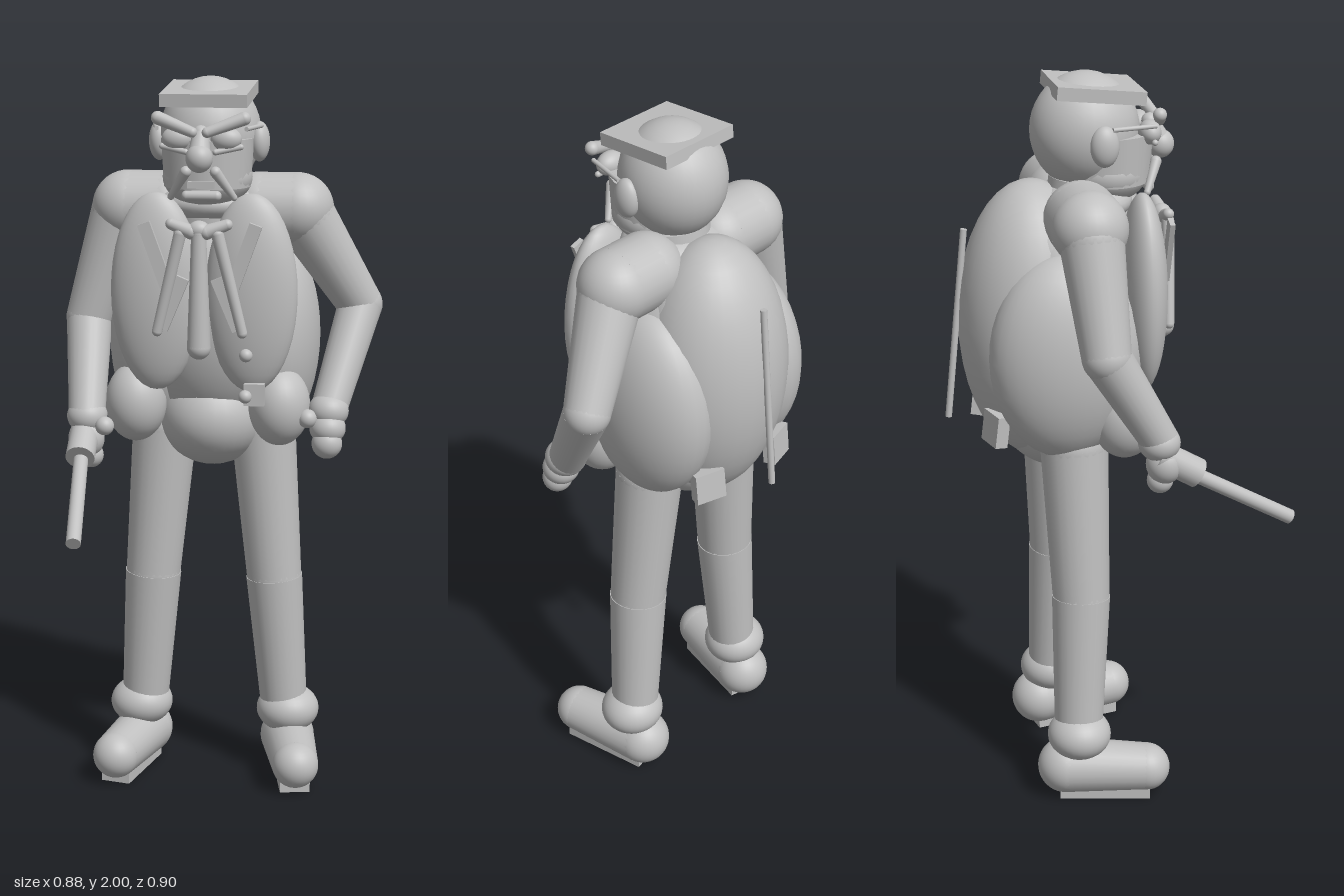
import * as THREE from 'three';

const grey = new THREE.MeshStandardMaterial({ color: 0xc0c0c0 });
grey.name = 'clay grey';
const UP = new THREE.Vector3(0, 1, 0);

export function createModel() {
  const root = new THREE.Group();
  root.name = 'standingMan';
  // the body is symmetric about its own centre line, which sits slightly off the origin
  const body = new THREE.Group();
  body.name = 'body';
  body.position.x = -0.03;
  root.add(body);

  function add(name, geometry, pos, rot = [0, 0, 0]) {
    const m = new THREE.Mesh(geometry, grey);
    m.name = name;
    m.position.set(...pos);
    m.rotation.set(...rot);
    body.add(m);
    return m;
  }
  const ball = (name, pos, r, rot) => {
    const [a, b, c] = Array.isArray(r) ? r : [r, r, r];
    return add(name, new THREE.SphereGeometry(1, 32, 20).scale(a, b, c), pos, rot);
  };
  const box = (name, pos, size, rot) => add(name, new THREE.BoxGeometry(...size), pos, rot);
  // tapered rod between two points
  function rod(name, a, b, ra, rb = ra) {
    const p = new THREE.Vector3(...a), q = new THREE.Vector3(...b);
    const d = q.clone().sub(p);
    const m = add(name, new THREE.CylinderGeometry(rb, ra, d.length(), 24), p.clone().add(q).multiplyScalar(0.5).toArray());
    m.quaternion.setFromUnitVectors(UP, d.normalize());
    return m;
  }
  // rod with rounded ends
  function limb(name, a, b, ra, rb = ra) {
    rod(name, a, b, ra, rb);
    ball(name + 'Start', a, ra);
    ball(name + 'End', b, rb);
  }

  // torso
  ball('chest', [0, 1.36, -0.12], [0.23, 0.34, 0.21]);
  ball('back', [0, 1.34, -0.21], [0.21, 0.38, 0.2]);
  ball('upperBack', [0, 1.5, -0.16], [0.18, 0.2, 0.17]);
  ball('pelvis', [0, 1.06, -0.12], [0.155, 0.145, 0.18]);
  rod('neck', [0, 1.58, -0.07], [0, 1.72, -0.06], 0.11, 0.1);
  ball('collar', [0, 1.66, -0.07], [0.15, 0.06, 0.13]);

  // head
  ball('skull', [0, 1.845, -0.065], [0.138, 0.155, 0.145]);
  ball('jaw', [0, 1.735, -0.01], [0.122, 0.085, 0.115]);
  rod('face', [0, 1.71, -0.01], [0, 1.84, -0.01], 0.118, 0.126);
  box('capBoard', [0, 1.954, -0.042], [0.235, 0.035, 0.235], [0.1, 0, 0]);
  limb('noseBridge', [0, 1.86, 0.11], [0, 1.81, 0.135], 0.022, 0.03);
  ball('noseTip', [0, 1.798, 0.14], [0.036, 0.038, 0.036]);
  box('upperLip', [0, 1.725, 0.11], [0.07, 0.018, 0.02]);
  limb('lowerLip', [-0.04, 1.695, 0.1], [0.04, 1.695, 0.1], 0.014);

  for (const s of [-1, 1]) {
    // face details
    ball('ear', [s * 0.137, 1.828, -0.04], [0.028, 0.054, 0.038]);
    limb('brow', [s * 0.115, 1.9, 0.11], [s * 0.02, 1.865, 0.133], 0.018, 0.014);
    ball('eye', [s * 0.065, 1.845, 0.095], [0.042, 0.032, 0.03]);
    rod('templeArm', [s * 0.12, 1.872, 0.1], [s * 0.145, 1.872, -0.02], 0.006);
    limb('lowerRim', [s * 0.105, 1.825, 0.1], [s * 0.04, 1.812, 0.115], 0.008);
    limb('moustache', [s * 0.04, 1.76, 0.118], [s * 0.085, 1.69, 0.085], 0.015, 0.009);

    // coat
    ball('coatSide', [s * 0.165, 1.28, -0.15], [0.13, 0.28, 0.205]);
    ball('coatFront', [s * 0.13, 1.43, 0.063], [0.125, 0.27, 0.062]);
    ball('coatHem', [s * 0.2, 1.11, 0.0], [0.085, 0.11, 0.09]);
    limb('shoulder', [s * 0.13, 1.64, -0.1], [s * 0.235, 1.64, -0.1], 0.1);
    box('rearPouch', [s * 0.13, 1.08, -0.335], [0.085, 0.085, 0.035], [0.12, -s * 0.3, 0]);

    // lapel ribbons and tie tails
    box('lapelRibbon', [s * 0.12, 1.54, 0.135], [0.035, 0.18, 0.014], [0, 0, -s * 0.35]);
    box('lapelFold', [s * 0.075, 1.41, 0.13], [0.035, 0.15, 0.014], [0, 0, s * 0.4]);
    limb('tieTail', [s * 0.05, 1.6, 0.15], [s * 0.115, 1.335, 0.14], 0.017, 0.014);
    limb('tieLoop', [s * 0.02, 1.605, 0.15], [s * 0.075, 1.625, 0.145], 0.02, 0.015);

    // legs
    limb('thigh', [s * 0.14, 1.02, -0.125], [s * 0.175, 0.59, -0.115], 0.092, 0.078);
    rod('shin', [s * 0.175, 0.59, -0.115], [s * 0.205, 0.18, -0.13], 0.08, 0.066);
    ball('ankleCuff', [s * 0.215, 0.185, -0.13], [0.09, 0.07, 0.088]);

    // shoes
    limb('shoe', [s * 0.21, 0.088, -0.168], [s * 0.258, 0.082, 0.052], 0.078, 0.066);
    box('sole', [s * 0.233, 0.018, -0.06], [0.085, 0.032, 0.25], [0, s * 0.21, 0]);
  }

  // tie centre, buttons and fob
  limb('tieCentre', [0, 1.6, 0.15], [0, 1.295, 0.15], 0.02, 0.032);
  ball('tieKnot', [0, 1.61, 0.145], [0.03, 0.025, 0.025]);
  ball('button', [0.122, 1.27, 0.115], 0.018);
  ball('button', [0.122, 1.16, 0.13], 0.018);
  box('watchFob', [0.143, 1.16, 0.095], [0.055, 0.06, 0.03]);

  // left arm, bent outward with the hand at the hip
  limb('leftUpperArm', [0.255, 1.62, -0.1], [0.405, 1.37, -0.17], 0.085, 0.062);
  rod('leftForearm', [0.405, 1.37, -0.17], [0.335, 1.1, -0.01], 0.062, 0.05);
  ball('leftCuff', [0.335, 1.1, -0.005], [0.056, 0.05, 0.056]);
  ball('leftHand', [0.335, 1.055, 0.015], [0.05, 0.045, 0.05]);
  ball('leftFingers', [0.335, 1.015, 0.03], [0.042, 0.042, 0.04]);
  ball('leftThumb', [0.282, 1.085, 0.04], 0.026);

  // right arm, holding the cane forward
  limb('rightUpperArm', [-0.255, 1.62, -0.1], [-0.345, 1.33, -0.08], 0.085, 0.065);
  rod('rightForearm', [-0.345, 1.33, -0.08], [-0.325, 1.08, 0.07], 0.064, 0.05);
  ball('rightCuff', [-0.325, 1.08, 0.065], [0.056, 0.05, 0.056]);
  ball('rightHand', [-0.325, 1.02, 0.08], [0.05, 0.055, 0.05]);
  ball('rightFingers', [-0.315, 0.97, 0.07], [0.035, 0.035, 0.035]);
  ball('rightThumb', [-0.27, 1.06, 0.1], 0.026);
  rod('caneGrip', [-0.33, 1.05, 0.06], [-0.325, 0.985, 0.17], 0.04);
  rod('cane', [-0.328, 1.0, 0.13], [-0.288, 0.82, 0.44], 0.02);

  // slim stick hung down the back
  rod('backStick', [0, 1.595, -0.39], [0, 1.075, -0.443], 0.009);

  return root;
}
